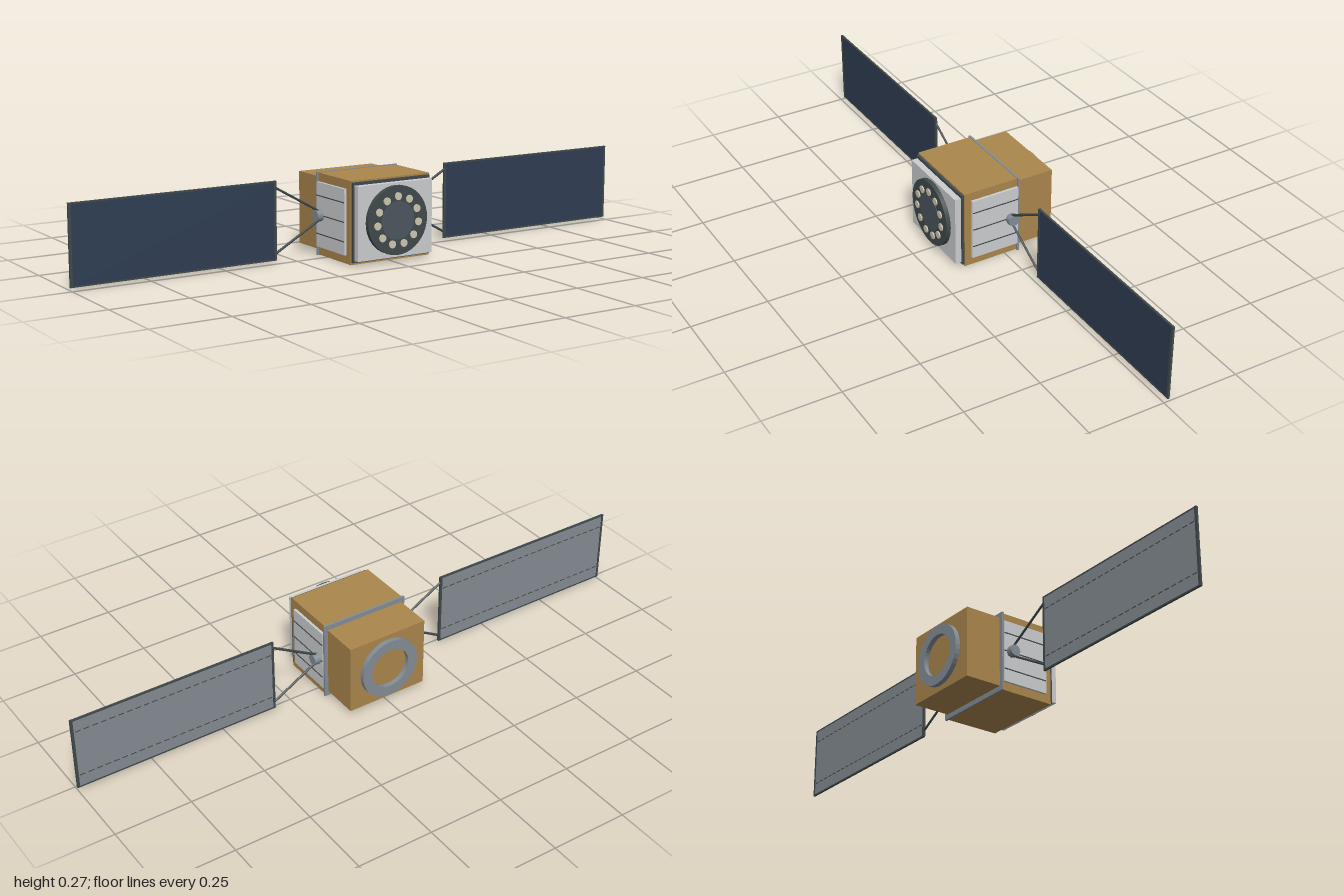
import * as THREE from 'three';

const mat = (name, color) => {
  const m = new THREE.MeshStandardMaterial({ color });
  m.name = name;
  return m;
};

export function createModel() {
  const gold = mat('gold foil', 0xab864c);
  const pale = mat('pale grey panel', 0xcccecf);
  const steel = mat('steel grey', 0x848d96);
  const dark = mat('dark frame', 0x414a4c);
  const slate = mat('slate dish', 0x4c575e);
  const navy = mat('solar cell navy', 0x2f3e54);
  const backing = mat('panel backing', 0x858c92);
  const cream = mat('cream feed', 0xcfc8b2);

  const model = new THREE.Group();
  model.name = 'satellite';
  const CY = 0.133; // height of the central axis
  const WZ = -0.0155; // depth of the solar wings

  const add = (parent, name, geometry, material, x = 0, y = 0, z = 0) => {
    const mesh = new THREE.Mesh(geometry, material);
    mesh.name = name;
    mesh.position.set(x, y, z);
    parent.add(mesh);
    return mesh;
  };
  const box = (parent, name, material, w, h, d, x, y, z) =>
    add(parent, name, new THREE.BoxGeometry(w, h, d), material, x, y, z);
  const disc = (parent, name, material, r, depth, x, y, z, sides = 32) =>
    add(parent, name, new THREE.CylinderGeometry(r, r, depth, sides).rotateX(Math.PI / 2), material, x, y, z);
  const rod = (parent, name, material, a, b, r) => {
    const dir = b.clone().sub(a);
    const mid = a.clone().add(b).multiplyScalar(0.5);
    const mesh = add(parent, name, new THREE.CylinderGeometry(r, r, dir.length(), 6), material, mid.x, mid.y, mid.z);
    mesh.quaternion.setFromUnitVectors(new THREE.Vector3(0, 1, 0), dir.normalize());
    return mesh;
  };

  // Central body, front to back
  box(model, 'mainBody', gold, 0.29, 0.262, 0.188, 0, CY, 0.051);
  box(model, 'collar', steel, 0.302, 0.266, 0.007, 0, CY, -0.0455);
  box(model, 'rearBody', gold, 0.276, 0.234, 0.125, 0, CY, -0.1115);
  box(model, 'frontGasket', dark, 0.284, 0.25, 0.008, 0, CY + 0.001, 0.149);
  box(model, 'frontPlate', pale, 0.274, 0.234, 0.021, 0, CY, 0.163);

  // Round antenna with a ring of feeds
  const antenna = new THREE.Group();
  antenna.name = 'frontAntenna';
  model.add(antenna);
  disc(antenna, 'antennaDisc', dark, 0.109, 0.015, 0, CY + 0.001, 0.1805, 40);
  disc(antenna, 'antennaCentre', slate, 0.06, 0.002, 0, CY + 0.001, 0.1885, 32);
  for (let i = 0; i < 11; i++) {
    const a = Math.PI / 2 + (i / 11) * Math.PI * 2;
    disc(antenna, 'feed' + (i + 1), cream, 0.0125, 0.005,
      Math.cos(a) * 0.076, CY + 0.001 + Math.sin(a) * 0.076, 0.1895, 10);
  }

  // Rear docking ring, open in the middle
  const ringShape = new THREE.Shape().absarc(0, 0, 0.101, 0, Math.PI * 2, false);
  ringShape.holes.push(new THREE.Path().absarc(0, 0, 0.068, 0, Math.PI * 2, true));
  add(model, 'rearRing',
    new THREE.ExtrudeGeometry(ringShape, { depth: 0.017, bevelEnabled: false, curveSegments: 20 }),
    steel, 0, CY + 0.001, -0.19);

  // Sides and wings, mirrored
  for (const s of [1, -1]) {
    const side = new THREE.Group();
    side.name = s > 0 ? 'leftWing' : 'rightWing';
    model.add(side);

    // Radiator plate with seams
    box(side, 'radiator', pale, 0.009, 0.207, 0.164, s * 0.149, CY, 0.04);
    for (const dy of [-0.061, 0, 0.061])
      box(side, 'radiatorSeam', dark, 0.002, 0.003, 0.162, s * 0.1543, CY + dy, 0.039);

    // Hub
    const hub = add(side, 'hub', new THREE.CylinderGeometry(0.019, 0.019, 0.022, 8),
      steel, s * 0.164, CY, WZ);
    hub.rotation.z = Math.PI / 2;

    // V-shaped struts
    for (const v of [1, -1])
      rod(side, 'strut', dark,
        new THREE.Vector3(s * 0.16, CY + v * 0.014, WZ),
        new THREE.Vector3(s * 0.32, CY + v * 0.105, WZ), 0.004);

    // Solar panel: cells in front, backing behind, dark frame around
    box(side, 'solarCells', navy, 0.675, 0.242, 0.002, s * 0.6575, CY, WZ + 0.0015);
    box(side, 'panelBacking', backing, 0.675, 0.242, 0.002, s * 0.6575, CY, WZ - 0.0015);
    for (const v of [1, -1]) {
      box(side, 'frameRail', dark, 0.685, 0.005, 0.006, s * 0.6575, CY + v * 0.1225, WZ);
      box(side, 'frameEnd', dark, 0.008, 0.25, 0.007, s * 0.6575 + v * 0.3385, CY, WZ);
      // Dashed seam on the back
      for (let i = 0; i < 24; i++)
        box(side, 'backSeam', dark, 0.018, 0.003, 0.001,
          s * (0.335 + i * 0.028), CY + v * 0.08, WZ - 0.0028);
    }
  }
  return model;
}
